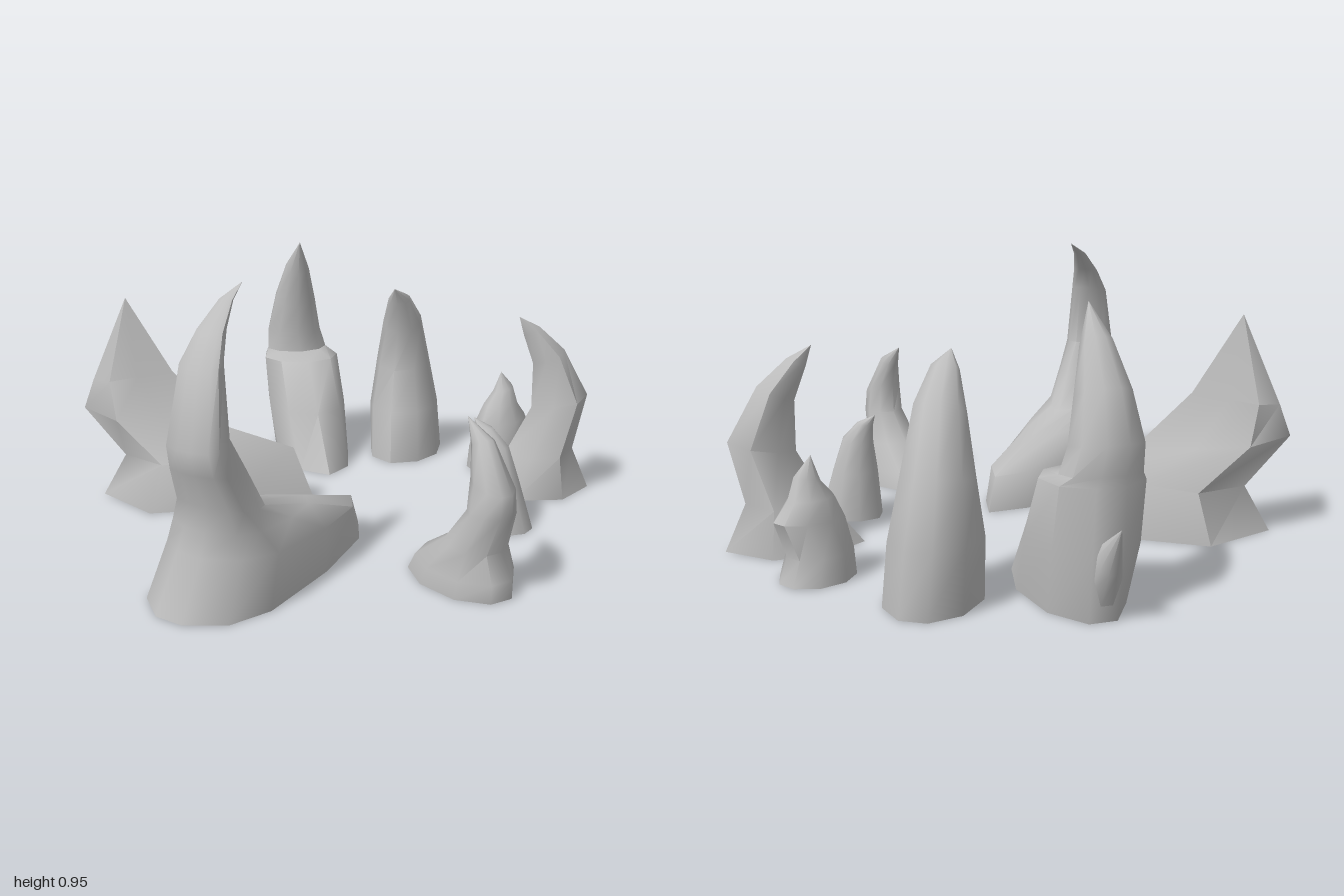
import * as THREE from 'three';
import { toCreasedNormals } from 'three/addons/utils/BufferGeometryUtils.js';

const stone = new THREE.MeshStandardMaterial({ color: 0xbcbcbc, side: THREE.DoubleSide });
stone.name = 'paleStone';

// Half cross-sections: [position from inner to outer edge, share of half width]
const ROUND = [[0, 0], [0.15, 0.68], [0.45, 1], [0.8, 0.85], [1, 0.3]];
const TAILED = [[0, 0], [0.13, 0.45], [0.43, 0.82], [0.77, 1], [0.92, 0.8], [1, 0.25]];
const KEELED = [[0, 0], [0.28, 0.85], [0.68, 1], [1, 0]];
const WEDGE = [[0, 0], [0.4, 0.6], [0.72, 1], [1, 0]];

// Lofts a curved spike standing along the ground line from inner to outer [x, z].
// Each ring: [outer distance, outer y, inner distance, inner y, half width, sideways shift].
// The tip is [distance, y, sideways shift].
function spike(name, inner, outer, half, rings, tip) {
  const dir = new THREE.Vector2(outer[0] - inner[0], outer[1] - inner[1]).normalize();
  const place = (s, y, v) => [
    inner[0] + dir.x * s + dir.y * v, y, inner[1] + dir.y * s - dir.x * v,
  ];
  // Full outline: one flank from the outer edge inwards, then the other back out
  const outline = [
    ...[...half].reverse(),
    ...half.filter(([, h]) => h > 0).map(([t, h]) => [t, -h]),
  ];
  const n = outline.length;
  const position = [], index = [];
  for (const [so, yo, si, yi, w, c = 0] of rings) {
    for (const [t, h] of outline) {
      position.push(...place(si + (so - si) * t, yi + (yo - yi) * t, c + h * w));
    }
  }
  position.push(...place(tip[0], tip[1], tip[2] || 0));
  const last = rings.length - 1, tipIndex = rings.length * n;
  for (let r = 0; r <= last; r++) {
    for (let j = 0; j < n; j++) {
      const a = r * n + j, b = r * n + (j + 1) % n;
      if (r === last) index.push(a, b, tipIndex);
      else index.push(a, b, b + n, a, b + n, a + n);
    }
  }
  const geometry = new THREE.BufferGeometry();
  geometry.setAttribute('position', new THREE.Float32BufferAttribute(position, 3));
  geometry.setIndex(index);
  const mesh = new THREE.Mesh(toCreasedNormals(geometry, 1), stone);
  mesh.name = name;
  return mesh;
}

export function createModel() {
  const group = new THREE.Group();
  group.name = 'spikeRing';
  group.add(
    // Tall front spike with a long low tail towards the middle
    spike('frontSpike', [0.08, 0.01], [0.17, 0.99], TAILED, [
      [0.985, 0, 0, 0, 0.205, 0.03],
      [0.9, 0.18, 0.06, 0.12, 0.185, 0.04],
      [0.89, 0.26, 0.35, 0.21, 0.155, 0.055],
      [0.89, 0.34, 0.61, 0.27, 0.125, 0.07],
      [0.94, 0.45, 0.7, 0.41, 0.105, 0.08],
      [0.95, 0.52, 0.78, 0.53, 0.1, 0.08],
      [0.88, 0.74, 0.77, 0.76, 0.075, 0.06],
      [0.8, 0.83, 0.72, 0.84, 0.05, 0.04],
      [0.69, 0.91, 0.66, 0.905, 0.025, 0.02],
    ], [0.6, 0.95, 0.015]),

    // Broad blade on the front -x side
    spike('bladeSpike', [-0.15, -0.04], [-0.83, 0.42], WEDGE, [
      [0.8, 0, -0.01, 0, 0.19],
      [0.71, 0.16, 0.07, 0.21, 0.155],
      [0.86, 0.34, 0.31, 0.28, 0.11],
      [0.82, 0.45, 0.52, 0.49, 0.075],
    ], [0.686, 0.76]),

    // Big stepped spike behind the blade, with a small side horn
    spike('steppedSpike', [-0.32, -0.29], [-0.84, -0.66], ROUND, [
      [0.6, 0, 0, 0, 0.145, -0.03],
      [0.62, 0.2, 0.18, 0.2, 0.16, -0.025],
      [0.61, 0.39, 0.31, 0.39, 0.155, -0.015],
      [0.61, 0.42, 0.43, 0.41, 0.125, -0.01],
      [0.62, 0.51, 0.44, 0.48, 0.112],
      [0.57, 0.66, 0.43, 0.6, 0.085],
      [0.48, 0.79, 0.42, 0.74, 0.05],
    ], [0.39, 0.88]),
    spike('sideHorn', [-0.72, -0.6], [-0.88, -0.72], ROUND, [
      [0.1, 0.05, 0.02, 0.22, 0.06],
      [0.14, 0.15, 0.08, 0.23, 0.04],
    ], [0.2, 0.3]),

    // Back -x spike leaning to the middle
    spike('backSpike', [-0.21, -0.59], [-0.36, -0.98], ROUND, [
      [0.41, 0, 0, 0, 0.145],
      [0.4, 0.2, 0.05, 0.2, 0.14, 0.015],
      [0.36, 0.4, 0.12, 0.36, 0.11, 0.025],
      [0.24, 0.6, 0.11, 0.52, 0.08, 0.01],
      [0.12, 0.69, 0.07, 0.65, 0.045],
    ], [0.03, 0.72]),

    // Small knobbly back spike
    spike('smallBackSpike', [0.12, -0.72], [0.14, -1], ROUND, [
      [0.26, 0, 0, 0, 0.11],
      [0.23, 0.08, 0.01, 0.09, 0.1],
      [0.28, 0.2, 0.03, 0.19, 0.085],
      [0.23, 0.26, 0.07, 0.26, 0.06],
      [0.21, 0.33, 0.12, 0.31, 0.035],
    ], [0.15, 0.39]),

    // Back +x spike
    spike('cornerSpike', [0.25, -0.51], [0.55, -0.87], KEELED, [
      [0.46, 0, 0, 0, 0.13],
      [0.39, 0.16, 0.12, 0.15, 0.105],
      [0.44, 0.37, 0.22, 0.33, 0.085],
      [0.34, 0.55, 0.22, 0.5, 0.06],
      [0.24, 0.64, 0.18, 0.61, 0.03],
    ], [0.16, 0.68]),

    // Small +x spike
    spike('smallSideSpike', [0.39, -0.28], [0.63, -0.31], ROUND, [
      [0.235, 0, 0, 0, 0.105],
      [0.18, 0.17, 0.02, 0.17, 0.085],
      [0.14, 0.29, 0.03, 0.27, 0.055],
      [0.08, 0.35, 0.025, 0.34, 0.03],
    ], [0.01, 0.38]),

    // Hooked +x spike
    spike('hookedSpike', [0.46, 0.11], [0.89, 0.25], ROUND, [
      [0.43, 0, 0, 0, 0.135],
      [0.43, 0.06, 0.04, 0.06, 0.13],
      [0.39, 0.14, 0.2, 0.16, 0.1],
      [0.44, 0.27, 0.29, 0.27, 0.075],
      [0.44, 0.34, 0.295, 0.38, 0.065],
      [0.35, 0.49, 0.28, 0.46, 0.035],
    ], [0.24, 0.54]),
  );
  return group;
}
